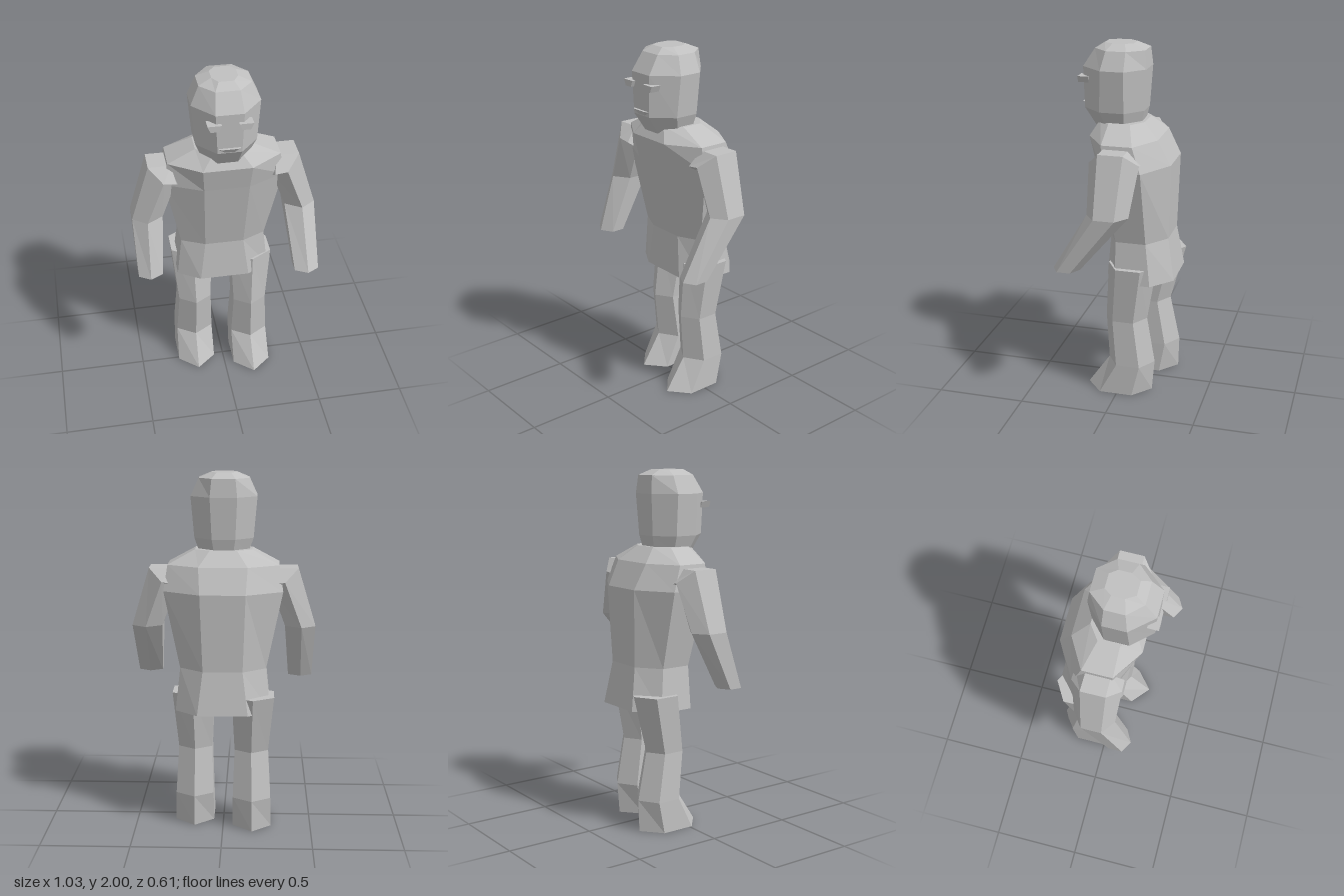
import * as THREE from 'three';

const grey = new THREE.MeshStandardMaterial({ color: 0xc0c0c0, flatShading: true });
grey.name = 'plain grey';

// Skin a closed solid over rings listed from bottom to top; points run from +x towards +z.
function loft(name, rings, mirrored = false) {
  if (mirrored) rings = rings.map(r => [...r].reverse());
  const pos = [];
  const tri = (...pts) => pts.forEach(p => pos.push(...p));
  const centre = r => [0, 1, 2].map(k => r.reduce((s, p) => s + p[k], 0) / r.length);
  const n = rings[0].length;
  const low = rings[0], high = rings[rings.length - 1];
  const cLow = centre(low), cHigh = centre(high);
  for (let j = 0; j < n; j++) {
    const k = (j + 1) % n;
    for (let i = 0; i < rings.length - 1; i++) {
      const a = rings[i], b = rings[i + 1];
      tri(a[j], b[j], b[k]);
      tri(a[j], b[k], a[k]);
    }
    tri(cLow, low[j], low[k]);
    tri(cHigh, high[k], high[j]);
  }
  const g = new THREE.BufferGeometry();
  g.setAttribute('position', new THREE.Float32BufferAttribute(pos, 3));
  g.computeVertexNormals();
  const mesh = new THREE.Mesh(g, grey);
  mesh.name = name;
  return mesh;
}

// Eight-sided ring: side x, front/back corner x, four depths, and heights at front, side and back.
function octagon(xs, xc, zf, zsf, zsb, zb, yf, ys = yf, yb = yf) {
  return [
    [xs, ys, zsb], [xs, ys, zsf], [xc, yf, zf], [-xc, yf, zf],
    [-xs, ys, zsf], [-xs, ys, zsb], [-xc, yb, zb], [xc, yb, zb],
  ];
}

// Six-sided limb ring with points at front and back.
function hexagon(s, [xo, yo], [xm, ym], [xi, yi], z, r) {
  return [
    [s * xo, yo, z - r / 2], [s * xo, yo, z + r / 2], [s * xm, ym, z + r],
    [s * xi, yi, z + r / 2], [s * xi, yi, z - r / 2], [s * xm, ym, z - r],
  ];
}

function arm(s, name) {
  const wristZ = s > 0 ? 0.23 : 0.135;
  return loft(name, [
    hexagon(s, [0.505, 0.83], [0.44, 0.83], [0.37, 0.83], wristZ, 0.075),
    hexagon(s, [0.515, 1.15], [0.435, 1.15], [0.345, 1.15], 0, 0.115),
    hexagon(s, [0.415, 1.48], [0.34, 1.41], [0.265, 1.37], -0.01, 0.138),
    hexagon(s, [0.29, 1.48], [0.27, 1.4], [0.25, 1.35], -0.01, 0.135),
  ], s < 0);
}

function leg(s, name, shifts) {
  // height, centre x, half width, centre z, depth radius
  const levels = [
    [0, 0.165, 0.11, 0.005, 0.19],
    [0.18, 0.163, 0.107, -0.065, 0.135],
    [0.45, 0.16, 0.095, -0.033, 0.12],
    [0.78, 0.168, 0.118, -0.07, 0.14],
  ];
  return loft(name, levels.map(([y, x, w, z, r], i) =>
    hexagon(s, [x + w, y], [x, y], [x - w, y], z + shifts[i], r)), s < 0);
}

export function createModel() {
  const model = new THREE.Group();
  model.name = 'figure';

  model.add(loft('torso', [
    octagon(0.265, 0.14, 0.085, 0.01, -0.19, -0.3, 0.69),
    octagon(0.24, 0.11, 0.07, 0.01, -0.16, -0.26, 0.93),
    octagon(0.33, 0.125, 0.155, 0.06, -0.15, -0.272, 1.36),
    octagon(0.31, 0.135, 0.185, 0.07, -0.1, -0.2, 1.5),
    octagon(0.16, 0.075, 0.14, 0.07, -0.05, -0.11, 1.58),
  ]));

  model.add(loft('head', [
    octagon(0.135, 0.055, 0.16, 0.09, -0.01, -0.09, 1.53, 1.555, 1.575),
    octagon(0.165, 0.065, 0.23, 0.12, -0.015, -0.105, 1.64),
    octagon(0.185, 0.075, 0.235, 0.11, -0.02, -0.12, 1.87),
    octagon(0.14, 0.065, 0.17, 0.09, -0.02, -0.11, 1.97),
    octagon(0.07, 0.04, 0.12, 0.07, 0, -0.04, 2),
  ]));

  // Eyes: small blocks that narrow towards the bottom
  for (const s of [1, -1]) {
    const block = new THREE.BoxGeometry(0.075, 0.035, 0.06);
    const p = block.attributes.position;
    for (let i = 0; i < p.count; i++) if (p.getY(i) < 0) p.setX(i, p.getX(i) * 0.6);
    block.computeVertexNormals();
    const eye = new THREE.Mesh(block, grey);
    eye.name = s > 0 ? 'leftEye' : 'rightEye';
    eye.position.set(s * 0.083, 1.805, 0.225);
    model.add(eye);
  }

  // Mouth: a slim wedge tapering into the jaw
  model.add(loft('mouth', [
    octagon(0.035, 0.025, 0.232, 0.225, 0.21, 0.2, 1.645),
    octagon(0.065, 0.045, 0.246, 0.232, 0.21, 0.2, 1.67),
  ]));

  model.add(arm(1, 'leftArm'), arm(-1, 'rightArm'));
  model.add(leg(1, 'leftLeg', [0, 0, 0, 0]), leg(-1, 'rightLeg', [-0.085, -0.075, -0.065, -0.095]));
  return model;
}
